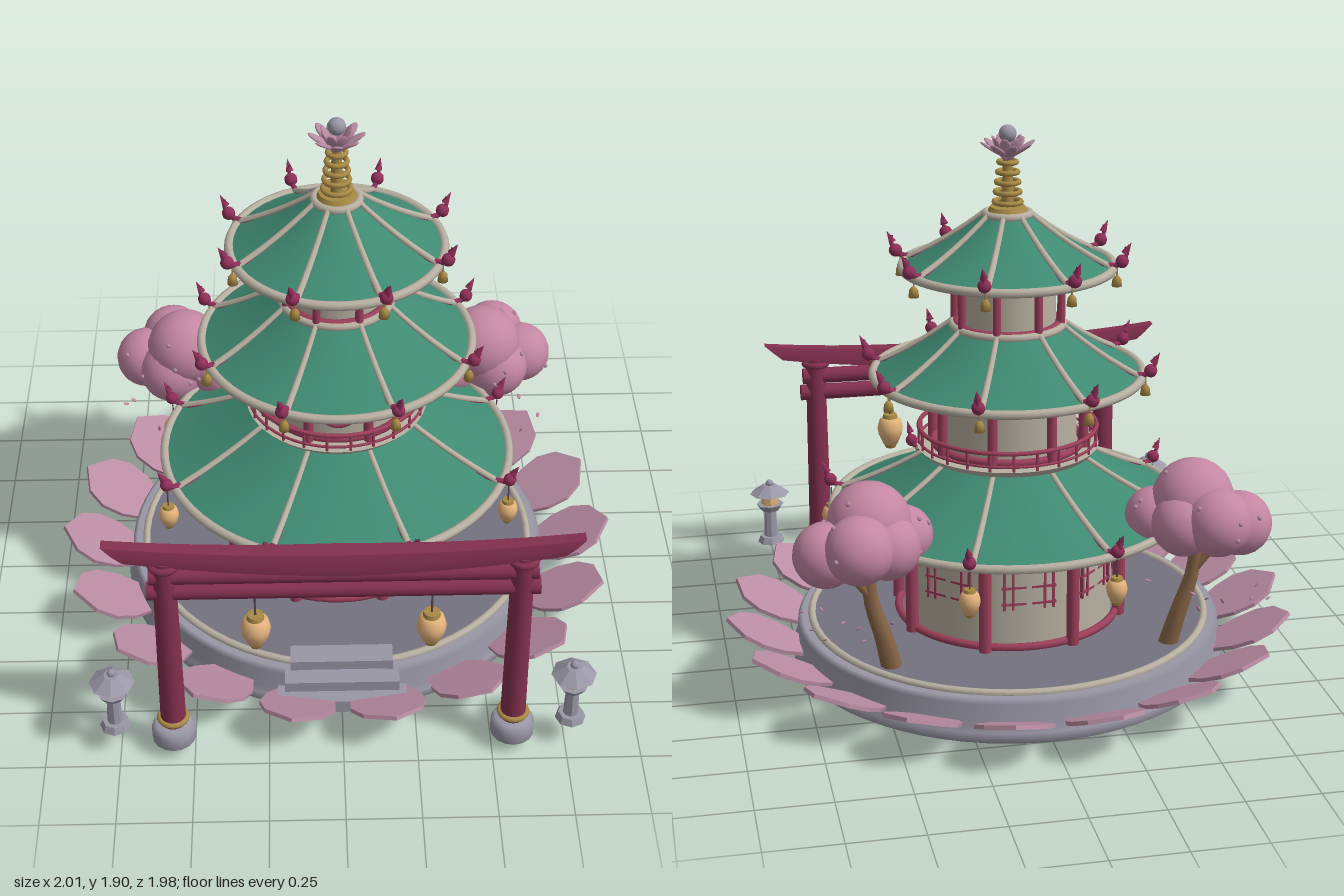
import * as THREE from 'three';

const C = { red: 0x9c3f5a, gate: 0x83304f, hook: 0x8f2f58, green: 0x3f8a72, cream: 0xb8b0a2, stone: 0x9a97a6,
  deck: 0x757280, petal: 0xb98ca2, blossom: 0xc487a3, gold: 0xa88a45, lamp: 0xe5b47c, wood: 0x8a6748, dark: 0x5a4a55 };
const mats = {};
const mat = (name, side = THREE.FrontSide, flatShading = false) => {
  const key = name + side + flatShading;
  return mats[key] ??= new THREE.MeshStandardMaterial({ color: C[name], side, flatShading });
};
function add(parent, name, geo, color, x = 0, y = 0, z = 0, flat = false) {
  const m = new THREE.Mesh(geo, mat(color, THREE.FrontSide, flat));
  m.name = name;
  m.position.set(x, y, z);
  parent.add(m);
  return m;
}
function group(parent, name) {
  const g = new THREE.Group();
  g.name = name;
  parent.add(g);
  return g;
}
// Repeats a part around the vertical axis; each copy is built facing +z
function around(parent, name, n, offset, build) {
  for (let i = 0; i < n; i++) {
    const g = group(parent, name);
    g.rotation.y = offset + (i * 2 * Math.PI) / n;
    build(g, i);
  }
}
const cyl = (rt, rb, h, n = 16) => new THREE.CylinderGeometry(rt, rb, h, n);
const lathe = (pts, n = 48) => new THREE.LatheGeometry(pts.map(p => new THREE.Vector2(...p)), n);
const ball = (r, w = 20, h = 14) => new THREE.SphereGeometry(r, w, h);
function ring(parent, name, r, tube, color, y, segs = 64) {
  const m = add(parent, name, new THREE.TorusGeometry(r, tube, 8, segs), color, 0, y);
  m.rotation.x = Math.PI / 2;
  return m;
}
// Round tube whose thickness runs from r0 to r1
function taper(pts, r0, r1, n = 12) {
  const curve = new THREE.CatmullRomCurve3(pts.map(p => new THREE.Vector3(...p)));
  const geo = new THREE.TubeGeometry(curve, n, 1, 8), pos = geo.attributes.position, v = new THREE.Vector3();
  for (let i = 0; i < pos.count; i++) {
    const t = Math.floor(i / 9) / n, c = curve.getPointAt(t);
    v.fromBufferAttribute(pos, i).sub(c).multiplyScalar(r0 + (r1 - r0) * t).add(c);
    pos.setXYZ(i, v.x, v.y, v.z);
  }
  geo.computeVertexNormals();
  return geo;
}
function lantern(parent, x, y, z, s) {
  const g = group(parent, 'hangingLantern');
  g.position.set(x, y, z);
  g.scale.setScalar(s);
  add(g, 'lanternBody', lathe([[0, -.055], [.028, -.052], [.046, -.01], [.05, .015], [.042, .045], [.026, .058], [0, .058]], 16), 'lamp');
  add(g, 'lanternCap', cyl(.026, .03, .016), 'gold', 0, .062);
  add(g, 'lanternFoot', cyl(.025, .02, .014), 'gold', 0, -.06);
  add(g, 'lanternCord', cyl(.004, .004, .09, 6), 'dark', 0, .11);
}

function base(root) {
  const g = group(root, 'lotusBase');
  add(g, 'baseDisc', lathe([[0, 0], [.75, 0], [.768, .012], [.768, .045], [.75, .055], [.75, .14], [.735, .155], [0, .155]], 64), 'stone');
  add(g, 'deck', cyl(.69, .69, .01, 64), 'deck', 0, .157);
  ring(g, 'deckRim', .7, .014, 'cream', .158);
  const s = new THREE.Shape([[-.065, 0], [.065, 0], [.118, .1], [.13, .18], [.1, .25], [0, .31], [-.1, .25], [-.13, .18], [-.118, .1]]
    .map(p => new THREE.Vector2(...p)));
  const geo = new THREE.ExtrudeGeometry(s, { depth: .014, bevelEnabled: false });
  around(g, 'lotusPetal', 18, Math.PI / 18, p => {
    add(p, 'petalBlade', geo, 'petal', 0, .065, .72).rotation.x = 1.13;
  });
  [[.35, .165, .68], [.39, .125, .74], [.44, .085, .79]].forEach(([w, top, z]) =>
    add(g, 'step', new THREE.BoxGeometry(w, .05, .08), 'stone', 0, top + .002, z));
}

function storey(root, name, rWall, rPost, y0, y1, post) {
  const g = group(root, name), h = y1 - y0, y = (y0 + y1) / 2;
  add(g, 'wall', cyl(rWall, rWall, h, 32), 'cream', 0, y);
  around(g, 'pillar', 8, Math.PI / 8, p => add(p, 'pillarShaft', cyl(post, post, h, 12), 'red', 0, y, rPost));
  ring(g, 'lowerBeam', rPost - .01, .014, 'red', y0 + .02);
  ring(g, 'upperBeam', rPost - .01, .014, 'red', y1 - .02);
  return g;
}

// Concave roof with rim, ridges, upturned finials and hanging ornaments
function roof(root, R, y0, rTop, y1, ornament) {
  const g = group(root, 'roofTier'), prof = [];
  for (let i = 0; i <= 8; i++) {
    const t = i / 8;
    prof.push([R + (rTop - R) * t, y0 + (y1 - y0) * (.72 * t + .28 * t * t)]);
  }
  add(g, 'roofTiles', lathe(prof), 'green').material = mat('green', THREE.DoubleSide);
  ring(g, 'eaveRim', R, .016, 'cream', y0);
  ring(g, 'roofCollar', rTop, .014, 'cream', y1);
  const ridge = taper(prof.map(([r, y]) => [0, y + .006, r]), .012, .009, 14);
  const horn = taper([[0, y0 + .03, R - .09], [0, y0 + .015, R - .01], [0, y0 + .03, R + .04], [0, y0 + .085, R + .045]], .014, .005);
  around(g, 'roofRidge', 8, Math.PI / 8, p => {
    add(p, 'ridge', ridge, 'cream');
    add(p, 'finial', horn, 'hook');
    add(p, 'finialKnob', ball(.023, 10, 8), 'hook', 0, y0 + .032, R + .032);
    add(p, 'finialTip', new THREE.ConeGeometry(.014, .045, 6), 'hook', 0, y0 + .08, R + .052).rotation.x = .5;
    if (ornament === 'lantern') lantern(p, 0, y0 - .11, R + .03, .72);
    else {
      add(p, 'bell', lathe([[0, -.02], [.018, -.02], [.015, .005], [.007, .016], [0, .018]], 10), 'gold', 0, y0 - .035, R + .015);
      add(p, 'bellCord', cyl(.003, .003, .04, 5), 'gold', 0, y0 - .01, R + .015);
    }
  });
}

function tower(root) {
  const g = group(root, 'pagoda');
  const low = storey(g, 'lowerStorey', .37, .4, .155, .58, .022);
  // Round doorway
  add(low, 'doorRing', new THREE.TorusGeometry(.127, .016, 10, 40), 'red', 0, .35, .385);
  add(low, 'doorLeaves', cyl(.122, .122, .02, 32), 'wood', 0, .35, .357).rotation.x = Math.PI / 2;
  // Lattice windows on every other bay
  around(low, 'latticeWindow', 8, 0, (p, i) => {
    if (i === 0) return;
    for (const x of [-.085, -.055, .055, .085]) add(p, 'latticeBar', new THREE.BoxGeometry(.008, .16, .012), 'red', x, .385, .364);
    for (const y of [.325, .385, .445]) add(p, 'latticeRail', new THREE.BoxGeometry(.19, .008, .01), 'red', 0, y, .364);
  });
  roof(g, .615, .56, .24, .76, 'lantern');
  // Balcony
  add(g, 'balconyFloor', cyl(.318, .3, .022, 48), 'cream', 0, .772);
  ring(g, 'handRail', .31, .008, 'red', .848);
  ring(g, 'midRail', .31, .005, 'red', .8);
  around(g, 'baluster', 24, Math.PI / 24, p => add(p, 'balusterPost', cyl(.005, .005, .07, 6), 'red', 0, .815, .31));
  const mid = storey(g, 'middleStorey', .24, .268, .775, 1.06, .017);
  // Round window
  add(mid, 'windowRing', new THREE.TorusGeometry(.06, .011, 8, 32), 'red', 0, .915, .258);
  add(mid, 'windowPane', cyl(.055, .055, .02, 24), 'wood', 0, .915, .23).rotation.x = Math.PI / 2;
  for (let i = 0; i < 4; i++)
    add(mid, 'windowBar', new THREE.BoxGeometry(.11, .007, .008), 'gold', 0, .915, .25).rotation.z = i * Math.PI / 4;
  roof(g, .465, 1.04, .19, 1.215, 'bell');
  storey(g, 'upperStorey', .165, .186, 1.2, 1.44, .014);
  roof(g, .36, 1.42, .075, 1.6, 'bell');
  // Spire
  const s = group(g, 'spire');
  add(s, 'spireFoot', cyl(.06, .075, .03, 24), 'gold', 0, 1.61);
  add(s, 'spirePole', cyl(.016, .022, .2), 'gold', 0, 1.7);
  for (let i = 0; i < 5; i++) ring(s, 'spireRing', .046 - i * .004, .009, 'gold', 1.64 + i * .034, 24);
  const leaf = new THREE.SphereGeometry(1, 8, 6).scale(.022, .05, .007);
  for (const [n, tilt, r, off] of [[8, 1, .052, 0], [8, .5, .03, Math.PI / 8]])
    around(s, 'spirePetal', n, off, p => add(p, 'spirePetalBlade', leaf, 'petal', 0, 1.82, r).rotation.x = tilt);
  add(s, 'spirePearl', ball(.03), 'stone', 0, 1.872);
}

function gate(root) {
  const g = group(root, 'gate');
  g.position.z = .905;
  for (const s of [-1, 1]) {
    add(g, 'gatePost', cyl(.037, .043, .74, 20), 'gate', s * .57, .47);
    add(g, 'postFoot', lathe([[0, .03], [.06, .03], [.074, .045], [.074, .09], [.06, .115], [0, .115]], 16), 'stone', s * .57);
    ring(g, 'postBand', .045, .01, 'gold', .135, 24).position.x = s * .57;
    ring(g, 'postCollar', .042, .012, 'gate', .82, 24).position.x = s * .57;
    lantern(g, s * .285, .525, 0, 1);
    // Stone lantern beside the gate
    const l = group(g, 'stoneLantern');
    l.position.x = s * .765;
    add(l, 'lanternBase', cyl(.042, .052, .025, 8), 'stone', 0, .112, 0, true);
    add(l, 'lanternStem', cyl(.022, .026, .12, 8), 'stone', 0, .18, 0, true);
    add(l, 'lanternPlate', cyl(.052, .036, .025, 8), 'stone', 0, .245, 0, true);
    add(l, 'lanternLight', cyl(.033, .033, .05, 8), 'lamp', 0, .28, 0, true);
    add(l, 'lanternRoof', cyl(.026, .076, .034, 8), 'stone', 0, .318, 0, true);
    add(l, 'lanternKnob', ball(.015, 8, 6), 'stone', 0, .342);
  }
  add(g, 'lowerTieBeam', cyl(.03, .03, 1.26), 'gate', 0, .705).rotation.z = Math.PI / 2;
  add(g, 'upperTieBeam', cyl(.03, .03, 1.24), 'gate', 0, .77).rotation.z = Math.PI / 2;
  // Top beam: sweeps up and narrows toward slanted ends
  const geo = new THREE.BoxGeometry(1.46, .075, .09, 24, 2, 2), pos = geo.attributes.position;
  for (let i = 0; i < pos.count; i++) {
    const x = pos.getX(i), y = pos.getY(i), z = pos.getZ(i), t = Math.abs(x) / .73;
    pos.setXYZ(i, x * (1 + y * 1.2), y * (1 - .25 * t) + .045 * t ** 2.2, z * (1 - .35 * t) * (y > .03 ? .65 : 1));
  }
  geo.computeVertexNormals();
  add(g, 'topBeam', geo, 'gate', 0, .832);
}

function trees(root) {
  let seed = 7;
  const rnd = () => (seed = (seed * 16807) % 2147483647) / 2147483647;
  const puffs = [[.55, .69, -.43, .14], [.7, .61, -.48, .11], [.6, .65, -.56, .115], [.43, .62, -.38, .1], [.6, .61, -.4, .12], [.5, .63, -.5, .11]];
  for (const s of [-1, 1]) {
    const g = group(root, 'blossomTree');
    add(g, 'trunk', taper([[s * .48, .15, -.41], [s * .51, .28, -.43], [s * .55, .42, -.44], [s * .56, .6, -.46]], .036, .018), 'wood');
    add(g, 'branch', taper([[s * .54, .42, -.44], [s * .6, .5, -.46], [s * .67, .58, -.48]], .018, .01), 'wood');
    for (const [x, y, z, r] of puffs) {
      add(g, 'foliage', ball(r), 'blossom', s * x, y, z);
      for (let i = 0; i < 4; i++) {
        const a = rnd() * 6.28, b = rnd() * 1.2 - .3;
        add(g, 'bud', ball(.009, 6, 4), 'petal', s * x + r * Math.cos(b) * Math.cos(a), y + r * Math.sin(b), z + r * Math.cos(b) * Math.sin(a));
      }
    }
    // Drifting petals
    for (let i = 0; i < 8; i++)
      add(g, 'driftingPetal', ball(.012, 6, 4).scale(1, .25, .6), 'blossom', s * (.4 + rnd() * .42), .28 + rnd() * .17, -.25 - rnd() * .4)
        .rotation.set(rnd(), rnd() * 6, rnd());
  }
}

export function createModel() {
  const root = new THREE.Group();
  root.name = 'pagodaGarden';
  base(root);
  tower(root);
  gate(root);
  trees(root);
  return root;
}
